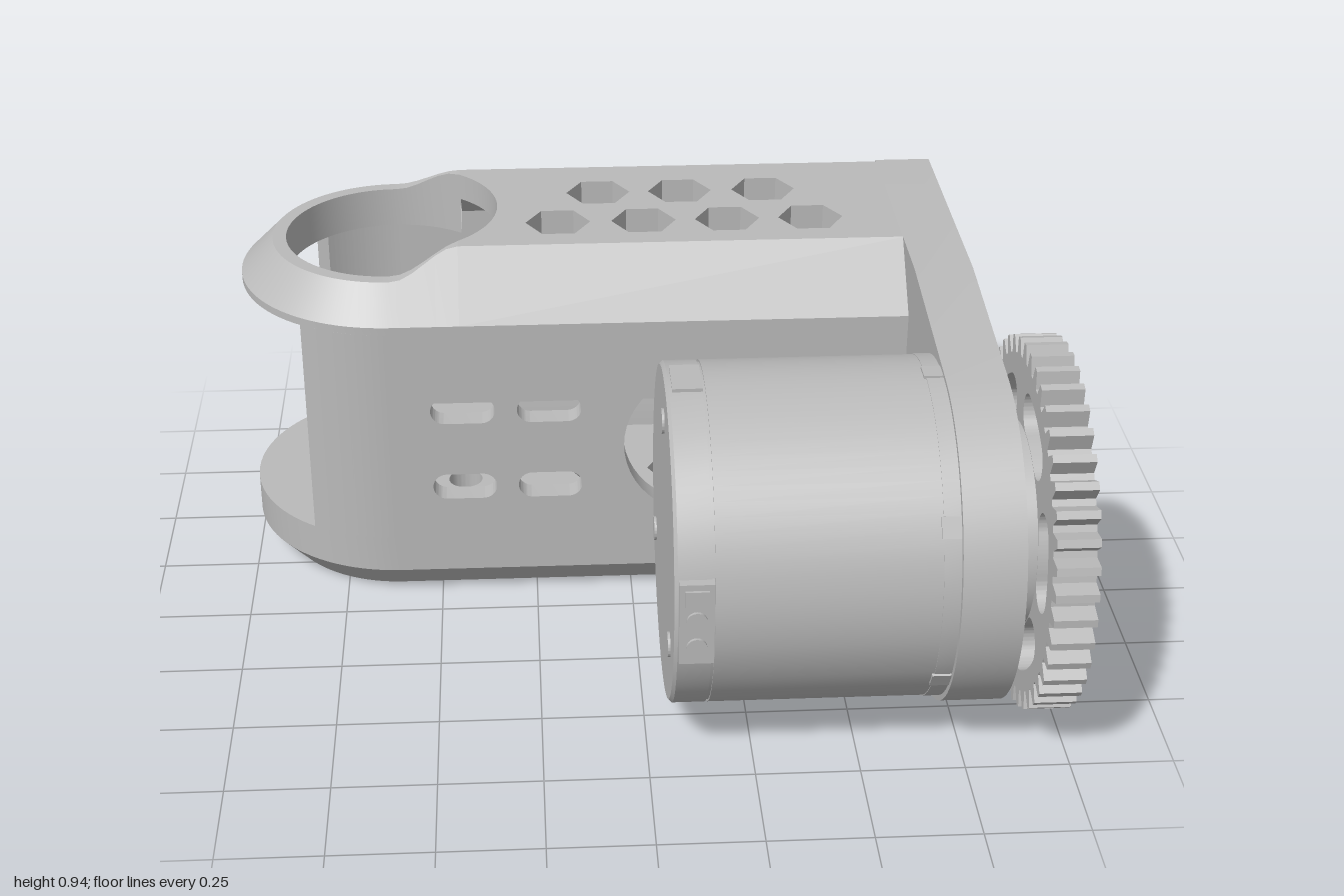
import * as THREE from 'three';
import { toCreasedNormals } from 'three/addons/utils/BufferGeometryUtils.js';

const gray = new THREE.MeshStandardMaterial({ color: 0xbababa, side: THREE.DoubleSide });
gray.name = 'machined gray';

// Plan coordinates are (x, v) with v = -z; side coordinates are (u, y) with u = -z.
const END = { x: -0.605, v: 0.465, r: 0.395, hole: 0.275 };
const WALL_TOP = 0.79, ROOF = 0.94, RIM = 0.875, PI = Math.PI;
const GEAR = { u: -0.405, y: 0.47 };
const FLANGE = { u: 0.46, y: 0.475 };

const add = (parent, name, geo) => {
  const m = new THREE.Mesh(toCreasedNormals(geo, 0.55), gray);
  m.name = name;
  parent.add(m);
};
const pts = (list) => new THREE.Shape(list.map(([a, b]) => new THREE.Vector2(a, b)));
const circle = (cx, cy, r) => new THREE.Shape().absarc(cx, cy, r, 0, PI * 2, false);
const polar = (cx, cy, r, a) => [cx + r * Math.cos(a), cy + r * Math.sin(a)];
const sixth = [0, 1, 2, 3, 4, 5].map((i) => i * PI / 3);
const hexagon = (cx, cy, r) => pts(sixth.map((a) => polar(cx, cy, r, a)));
const slot = (cx, cy, half, r) => new THREE.Path()
  .absarc(cx + half - r, cy, r, -PI / 2, PI / 2, false)
  .absarc(cx - half + r, cy, r, PI / 2, PI * 1.5, false);
// Curved slot following an arc around (cx, cy)
const arcSlot = (cx, cy, R, a, da, w) => new THREE.Path()
  .absarc(cx, cy, R + w, a - da, a + da, false)
  .absarc(...polar(cx, cy, R, a + da), w, a + da, a + da + PI, false)
  .absarc(cx, cy, R - w, a + da, a - da, true)
  .absarc(...polar(cx, cy, R, a - da), w, a - da + PI, a - da + PI * 2, false);
const extrude = (shape, holes, depth) => {
  shape.holes.push(...holes);
  return new THREE.ExtrudeGeometry(shape, { depth, bevelEnabled: false, curveSegments: 24 });
};
const extrudeUp = (shape, holes, y0, y1) =>
  extrude(shape, holes, y1 - y0).rotateX(-PI / 2).translate(0, y0, 0);
const extrudeX = (shape, holes, x0, x1) =>
  extrude(shape, holes, x1 - x0).rotateY(PI / 2).translate(x0, 0, 0);
// Solid of revolution about the x axis; profile is [x, radius]
const latheX = (profile, u, y) => new THREE.LatheGeometry(
  profile.map(([x, r]) => new THREE.Vector2(r, x)), 72).rotateZ(-PI / 2).translate(0, y, -u);

// Skin through a row of closed cross-sections of [x, y, z]
function loft(sections) {
  const pos = [], n = sections[0].length;
  for (let i = 0; i < sections.length - 1; i++) for (let j = 0; j < n; j++) {
    const k = (j + 1) % n, A = sections[i], B = sections[i + 1];
    pos.push(...A[j], ...B[k], ...B[j], ...A[j], ...A[k], ...B[k]);
  }
  return new THREE.BufferGeometry().setAttribute('position', new THREE.Float32BufferAttribute(pos, 3));
}

// U-shaped arm outline: front side, round end, back side, with outward normals
function armPath(xStart) {
  const path = [], N = 48, straight = (i) => xStart + (END.x - xStart) * i / 6;
  for (let i = 0; i < 6; i++) path.push([straight(i), 0, -1]);
  for (let i = 0; i <= N; i++) path.push([END.x, ...polar(0, 0, 1, -PI / 2 - PI * i / N)]);
  for (let i = 5; i >= 0; i--) path.push([straight(i), 0, 1]);
  return path.map(([x, nx, nv]) => ({
    x, nx, nv,
    at: (inset, y) => [x + (END.r - inset) * nx, y, -(END.v + (END.r - inset) * nv)],
  }));
}
const armShape = (xStart, inset) => pts(armPath(xStart).map((p) => {
  const [x, , z] = p.at(inset, 0);
  return [x, -z];
}));

function buildArm(arm) {
  const lowerHexes = [[-0.065, 0.54], [0.15, 0.54], [0.37, 0.54], [0.045, 0.355], [0.26, 0.355], [0.475, 0.355]];
  const hexes = (list) => list.map(([x, v]) => hexagon(x, v, 0.083));
  const screws = (r) => sixth.map((a) => circle(...polar(END.x, END.v, 0.195, a + PI / 6), r));
  // Floor with chamfered rim
  add(arm, 'floor', extrudeUp(armShape(0.7, 0.07), [...hexes(lowerHexes), ...screws(0.026)], 0, 0.1));
  add(arm, 'floorPad', extrudeUp(armShape(-0.33, 0.06), screws(0.045), 0.1, 0.18));
  add(arm, 'floorRim', loft(armPath(0.7).map((p) =>
    [p.at(0.07, 0), p.at(0, 0.08), p.at(0, 0.18), p.at(0.06, 0.18), p.at(0.07, 0.1)])));
  // Collar around the round opening, ramping up to the roof
  add(arm, 'collar', loft(armPath(-0.43).map((p) => {
    const t = RIM + (ROOF - RIM) * THREE.MathUtils.smoothstep(p.x, -0.6, -0.43);
    const half = Math.sqrt(END.hole ** 2 - (p.x - END.x) ** 2);
    const hx = p.x + END.hole * p.nx, hz = -(END.v + half * p.nv);
    return [p.at(0, 0.77), p.at(0, WALL_TOP), p.at(t - WALL_TOP, t), [hx, t, hz], [hx, 0.77, hz]];
  })));
  // Roof and its long chamfers
  const roof = pts([[-0.43, 0.22], [0.7, 0.22], [0.7, 0.71], [-0.43, 0.71]]);
  roof.absarc(END.x, END.v, END.hole, 0.881, -0.881, true);
  add(arm, 'roof', extrudeUp(roof, hexes([...lowerHexes, [-0.175, 0.355]]), 0.87, ROOF));
  const edge = [[0.07, 0.77], [0.07, WALL_TOP], [0.22, ROOF], [0.22, 0.87], [0.13, 0.78], [0.13, 0.77]];
  add(arm, 'frontChamfer', extrudeX(pts(edge), [], -0.43, 0.7));
  add(arm, 'backChamfer', extrudeX(pts(edge.map(([u, y]) => [0.93 - u, y])), [], -0.43, 0.7));
  // Side walls with slots, ending in curved returns beside the open end
  const wall = () => pts([[END.x, 0.18], [0.7, 0.18], [0.7, 0.77], [END.x, 0.77]]);
  const frontHoles = [-0.43, -0.21].flatMap((x) => [0.33, 0.55].map((y) => slot(x, y, 0.082, 0.036)));
  frontHoles.push(circle(0.19, 0.44, 0.21));
  const backHoles = [-0.31, 0.06, 0.4].flatMap((x) => [0.295, 0.585].map((y) => slot(x, y, 0.105, 0.065)));
  add(arm, 'frontWall', extrude(wall(), frontHoles, 0.06).translate(0, 0, -0.13));
  add(arm, 'backWall', extrude(wall(), backHoles, 0.06).translate(0, 0, -0.86));
  for (const s of [-1, 1]) {
    const a0 = s * PI / 2, a1 = s * 2.176;
    const c = new THREE.Shape().absarc(END.x, END.v, END.r, a0, a1, s < 0)
      .absarc(END.x, END.v, END.r - 0.06, a1, a0, s > 0);
    add(arm, 'curvedWall', extrudeUp(c, [], 0.18, 0.77));
  }
}

function buildEndPlate(g) {
  const s = pts([[0.03, 0], [0.8, 0], [0.86, 0.08], [0.86, 0.8], [0.72, ROOF], [0.03, ROOF]]);
  s.absarc(-0.41, 0.47, 0.42, 1.684, PI * 2 - 1.684, false);
  add(g, 'endPlate', extrudeX(s, [circle(FLANGE.u, FLANGE.y, 0.25)], 0.695, 0.84));
}

function buildFlange(g) {
  const { u, y } = FLANGE, quarter = [[0, 0.33], [15, 0.325], [26, 0.325], [33, 0.365], [38, 0.42], [45, 0.442],
    [52, 0.42], [57, 0.365], [64, 0.325], [75, 0.325]];
  const loop = [0, 90, 180, 270].flatMap((q) => quarter.map(([deg, r]) =>
    new THREE.Vector2(...polar(u, y, r, (deg + q) * PI / 180))));
  const outline = new THREE.Shape(new THREE.SplineCurve([...loop, loop[0]]).getPoints(160));
  const corners = [-1, 1].flatMap((a) => [-1, 1].map((b) => [u + a * 0.277, y + b * 0.277]));
  add(g, 'flange', extrudeX(outline, [circle(u, y, 0.28), ...corners.map((c) => circle(...c, 0.042))], 0.84, 0.868));
  for (const c of corners) add(g, 'flangeBolt', latheX([[0.84, 0.034], [0.848, 0.034], [0.848, 0.022]], ...c));
  add(g, 'flangeRing', latheX([[0.84, 0.265], [0.862, 0.265], [0.862, 0.235], [0.84, 0.235]], u, y));
  // Vented inner disc
  const vents = [0, 1, 2].map((i) => arcSlot(u, y, 0.15, i * PI * 2 / 3, 0.25, 0.03));
  for (const a of sixth) vents.push(circle(...polar(u, y, 0.18, a + PI / 6), 0.018));
  add(g, 'ventDisc', extrudeX(circle(u, y, 0.282), vents, 0.825, 0.85));
  // Shaft with a notched tip
  add(g, 'shaft', latheX([[0.8, 0], [0.8, 0.09], [0.95, 0.09], [0.95, 0]], u, y));
  for (const a of [0.35, 0.35 + PI]) {
    const tip = new THREE.Shape().absarc(u, y, 0.09, a, a + 2.4, false).absarc(u, y, 0.05, a + 2.4, a, true);
    add(g, 'shaftTip', extrudeX(tip, [], 0.95, 0.98));
  }
}

function buildMotor(g) {
  const { u, y } = GEAR;
  add(g, 'motorBody', latheX([[0.05, 0], [0.05, 0.4], [0.058, 0.408], [0.135, 0.408], [0.135, 0.403], [0.142, 0.403],
    [0.142, 0.408], [0.655, 0.408], [0.655, 0.41], [0.7, 0.41]], u, y));
  for (const a of sixth) add(g, 'clip', new THREE.BoxGeometry(0.045, 0.012, 0.05).translate(0.672, 0.408, 0)
    .rotateX(a).translate(0, y, -u));
  for (const a of [PI / 2, PI * 7 / 6, PI * 11 / 6])
    add(g, 'rearScrew', latheX([[0.044, 0], [0.044, 0.03], [0.055, 0.03]], ...polar(u, y, 0.3, a)));
  // Connectors
  add(g, 'frontConnector', new THREE.BoxGeometry(0.08, 0.21, 0.04).translate(0.1, 0.475, 0.8));
  for (const cy of [0.415, 0.485]) add(g, 'connectorPin', new THREE.CylinderGeometry(0.024, 0.024, 0.008, 20)
    .rotateX(PI / 2).translate(0.1, cy, 0.823));
  add(g, 'connectorKey', new THREE.BoxGeometry(0.055, 0.04, 0.008).translate(0.1, 0.545, 0.823));
  add(g, 'topConnector', new THREE.BoxGeometry(0.07, 0.02, 0.12).translate(0.1, 0.872, 0.4));
}

function buildGear(g) {
  const { u, y } = GEAR, teeth = 44, outline = [], holes = [circle(u, y, 0.13)];
  for (let i = 0; i < teeth; i++)
    for (const [t, r] of [[-0.36, 0.408], [-0.15, 0.45], [0.15, 0.45], [0.36, 0.408]])
      outline.push(polar(u, y, r, (i + t) * PI * 2 / teeth));
  // Alternating screw holes and curved slots
  for (const step of sixth) {
    const a = 1.36 + step, spot = polar(u, y, 0.195, a);
    holes.push(circle(...spot, 0.043), arcSlot(u, y, 0.305, a - PI / 6, 0.22, 0.053));
    add(g, 'gearScrew', latheX([[0.89, 0.043], [0.95, 0.043], [0.95, 0.024]], ...spot));
  }
  add(g, 'gear', extrudeX(pts(outline), holes, 0.9, 1.0));
  add(g, 'gearHub', latheX([[0.83, 0.265], [0.85, 0.265], [0.85, 0.25], [0.905, 0.25], [0.905, 0]], u, y));
}

export function createModel() {
  const model = new THREE.Group();
  model.name = 'gearedJointBracket';
  const parts = { arm: buildArm, endPlate: buildEndPlate, actuatorFlange: buildFlange, motor: buildMotor, driveGear: buildGear };
  for (const [name, build] of Object.entries(parts)) {
    const g = new THREE.Group();
    g.name = name;
    build(g);
    model.add(g);
  }
  return model;
}
